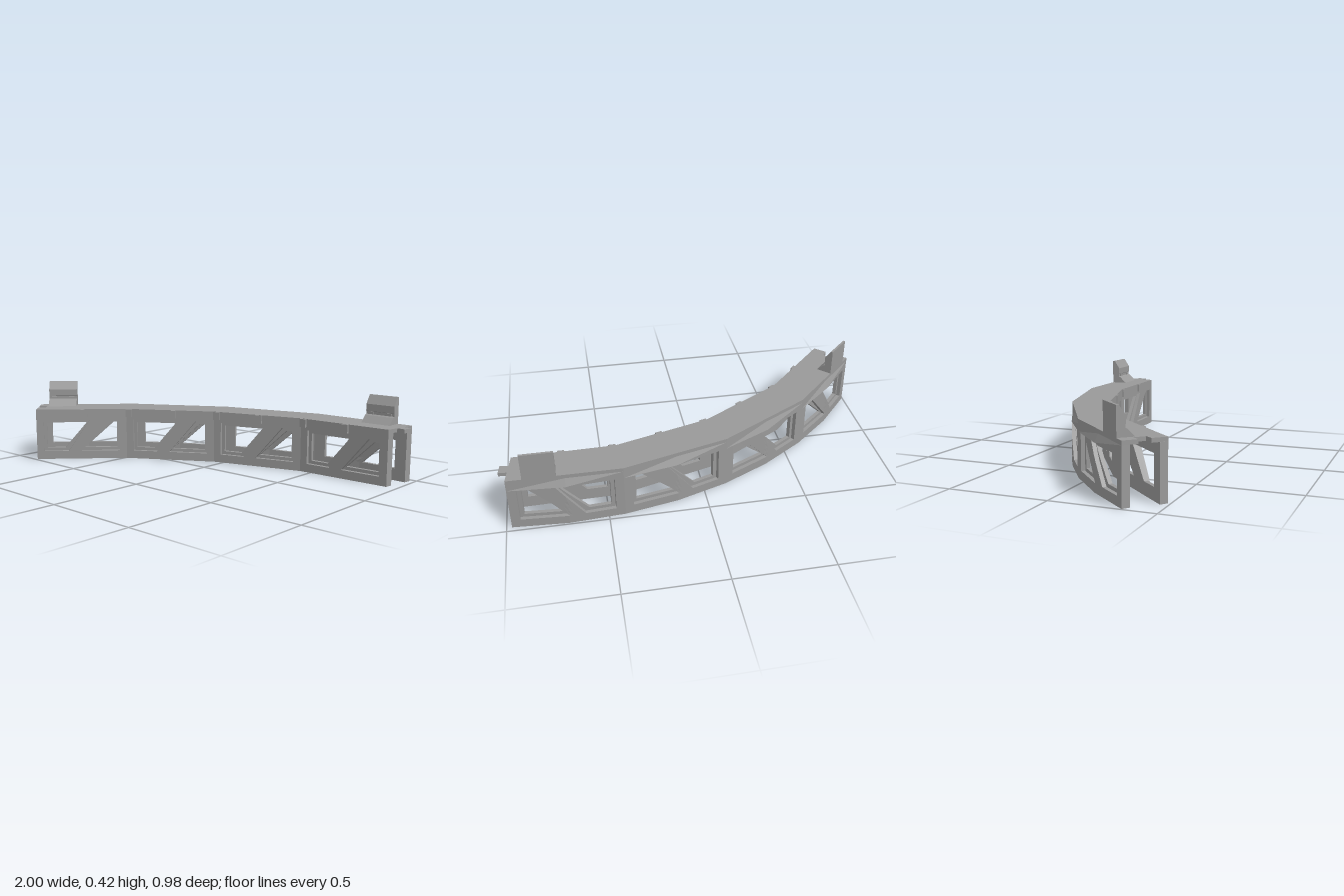
import * as THREE from 'three';
import { mergeGeometries } from 'three/addons/utils/BufferGeometryUtils.js';

const RAD = Math.PI / 180, PANELS = 4, STEP = 15;
const DECK_LOW = 0.265, DECK_TOP = 0.285, HOLE_LOW = 0.045, HOLE_TOP = 0.225;

// Each side follows an arc, straight from panel to panel; side is the direction of the wall's back layer
const OUTER = { cx: 0.696, cz: 1.638, r: 2.13, a0: -52.5, bulge: 0.018, side: -1 };
const INNER = { cx: 0.725, cz: 1.647, r: 1.95, a0: -53.5, bulge: 0, side: 1 };

const onArc = (arc, deg, r = arc.r) =>
  new THREE.Vector3(arc.cx + r * Math.sin(deg * RAD), 0, arc.cz - r * Math.cos(deg * RAD));

// Point of a panel: u along the panel, height y, radius r
function panelPoint(arc, k, u, y, r) {
  const a = arc.a0 + k * STEP, mid = (a + STEP / 2) * RAD;
  const p = onArc(arc, a, r).lerp(onArc(arc, a + STEP, r), u);
  const fade = Math.min(1, Math.max(0, (DECK_LOW - y) / (DECK_LOW - HOLE_TOP)));
  const out = arc.bulge * fade * (1 - Math.abs(2 * u - 1));
  return p.add(new THREE.Vector3(Math.sin(mid) * out, y, -Math.cos(mid) * out));
}

// Bar bent onto the panel; lo and hi are its u range at heights y0 and y1
function bar(arc, k, lo, hi, y0, y1, rMin, rMax, segs = 2) {
  const g = new THREE.BoxGeometry(1, 1, 1, segs, segs > 2 ? segs : 1, 1);
  const pos = g.attributes.position, mix = THREE.MathUtils.lerp;
  for (let i = 0; i < pos.count; i++) {
    const s = pos.getX(i) + 0.5, t = pos.getY(i) + 0.5, d = pos.getZ(i) + 0.5;
    const u = mix(mix(lo[0], hi[0], t), mix(lo[1], hi[1], t), s);
    const p = panelPoint(arc, k, u, mix(y0, y1, t), mix(rMax, rMin, d));
    pos.setXYZ(i, p.x, p.y, p.z);
  }
  const flat = g.toNonIndexed();
  flat.computeVertexNormals();
  return flat;
}

// Truss wall: a face layer with large openings and a back layer with smaller ones
function trussWall(arc) {
  const parts = [];
  for (let k = 0; k < PANELS; k++) {
    for (let layer = 0; layer < 2; layer++) {
      const ra = arc.r + arc.side * 0.02 * layer, rb = ra + arc.side * 0.02;
      const r0 = Math.min(ra, rb), r1 = Math.max(ra, rb);
      const m = layer * 0.035, low = HOLE_LOW + layer * 0.017, top = HOLE_TOP - layer * 0.017;
      const add = (lo, hi, y0, y1, n) => parts.push(bar(arc, k, lo, hi, y0, y1, r0, r1, n));
      add([0, 1], [0, 1], 0, low);
      add([0, 1], [0, 1], top, DECK_LOW);
      add([0, 0.08 + m], [0, 0.08 + m], low, top);
      add([0.92 - m, 1], [0.92 - m, 1], low, top);
      add([0.35 - m, 0.49 + m], [0.59 - m, 0.79 + m], low, top, 6);
    }
  }
  return mergeGeometries(parts);
}

// Curved deck with a tongue at one end and a matching notch at the other
function deckGeometry() {
  const pts = [];
  for (let k = 0; k <= PANELS; k++) pts.push(onArc(OUTER, OUTER.a0 + k * STEP));
  const key = (from, to, along, reach) => {
    const a = from.clone().lerp(to, 0.36), b = from.clone().lerp(to, 0.64);
    const d = new THREE.Vector3(Math.cos(along * RAD), 0, Math.sin(along * RAD)).multiplyScalar(reach);
    pts.push(a, a.clone().add(d), b.clone().add(d), b);
  };
  const endA = OUTER.a0, endB = OUTER.a0 + PANELS * STEP;
  key(onArc(OUTER, endB), onArc(INNER, INNER.a0 + PANELS * STEP), endB, 0.043);
  for (let k = PANELS; k >= 0; k--) pts.push(onArc(INNER, INNER.a0 + k * STEP));
  key(onArc(INNER, INNER.a0), onArc(OUTER, endA), endA, 0.045);
  const shape = new THREE.Shape(pts.map(p => new THREE.Vector2(p.x, -p.z)));
  const g = new THREE.ExtrudeGeometry(shape, { depth: DECK_TOP - DECK_LOW, bevelEnabled: false });
  return g.rotateX(-Math.PI / 2).translate(0, DECK_LOW, 0);
}

export function createModel() {
  const model = new THREE.Group();
  const grey = new THREE.MeshStandardMaterial({ color: 0x999999 });
  grey.name = 'grey';
  const add = (name, geometry, parent = model) => {
    const mesh = new THREE.Mesh(geometry, grey);
    mesh.name = name;
    parent.add(mesh);
    return mesh;
  };

  add('outerWall', trussWall(OUTER));
  add('innerWall', trussWall(INNER));
  add('deck', deckGeometry());

  // Small clips along the inner edge of the deck
  for (let i = 1; i < 2 * PANELS; i++) {
    const k = Math.floor(i / 2), u = (i % 2) * 0.5 + 0.03;
    add('edgeClip', bar(INNER, k, [u - 0.035, u + 0.035], [u - 0.035, u + 0.035],
      0.24, 0.284, INNER.r - 0.012, INNER.r + 0.01));
  }

  // Upright end brackets: profile as (distance in from the outer edge, height above the deck)
  const profile = [[0, 0], [0.085, 0], [0.05, 0.035], [0.04, 0.04], [0.04, 0.054],
    [0.042, 0.056], [0.042, 0.092], [0.012, 0.137], [0, 0.137]];
  const width = 0.16;
  const bracketShape = new THREE.Shape(profile.map(p => new THREE.Vector2(...p)));
  const bracketGeometry = new THREE.ExtrudeGeometry(bracketShape, { depth: width, bevelEnabled: false });
  bracketGeometry.rotateY(-Math.PI / 2).translate(width / 2, 0, 0);
  const ribGeometry = new THREE.BoxGeometry(0.03, 0.012, 0.012);
  for (const [k, u, name] of [[0, 0.245, 'rightBracket'], [PANELS - 1, 0.715, 'leftBracket']]) {
    const bracket = new THREE.Group();
    bracket.name = name;
    bracket.position.copy(panelPoint(OUTER, k, u, DECK_TOP, OUTER.r));
    bracket.rotation.y = -(OUTER.a0 + (k + 0.5) * STEP) * RAD;
    add('bracketBody', bracketGeometry, bracket);
    for (const s of [-1, 1]) add('bracketRib', ribGeometry, bracket).position.set(s * 0.05, 0.047, 0.041);
    model.add(bracket);
  }
  return model;
}
